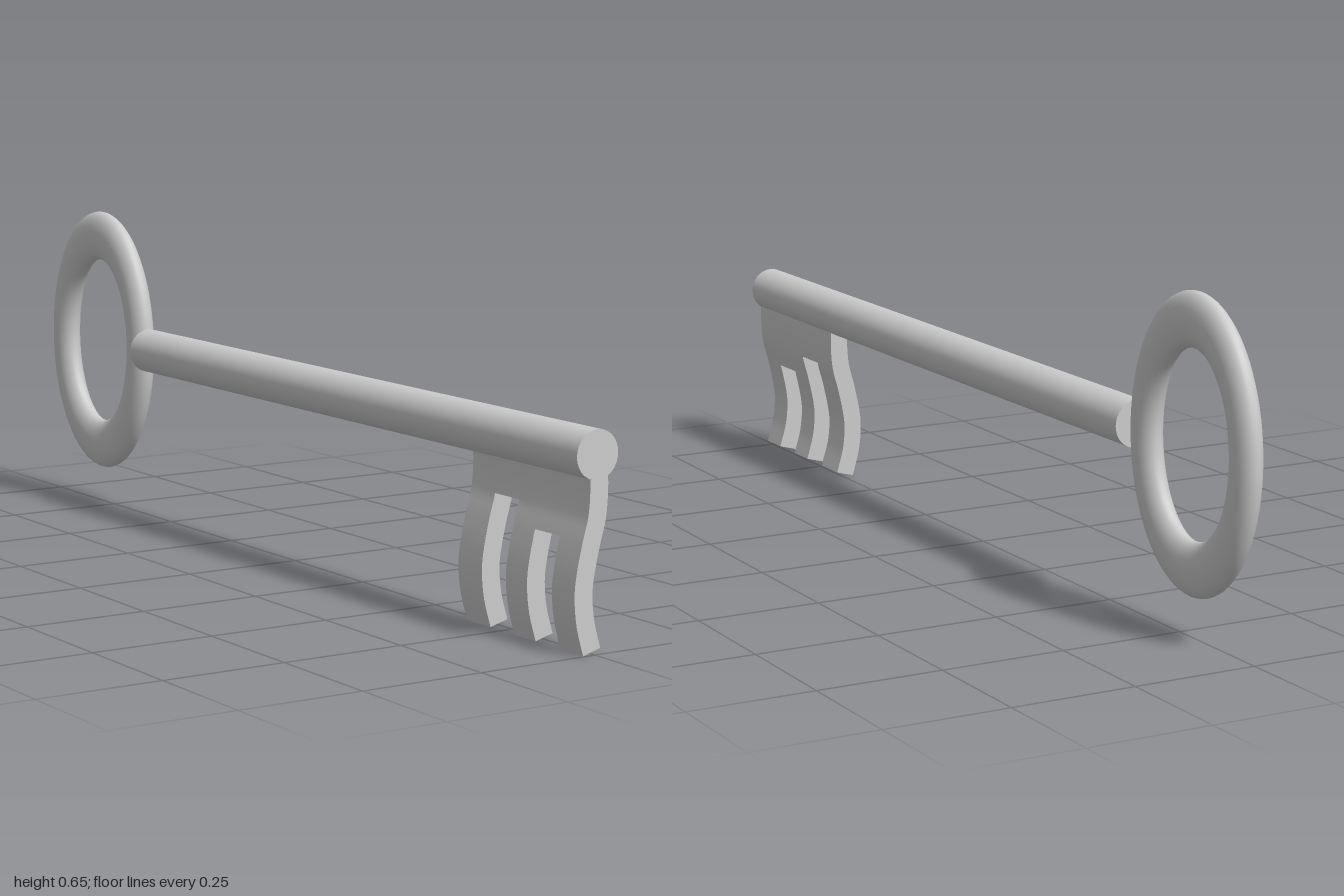
import * as THREE from 'three';
import { toCreasedNormals } from 'three/addons/utils/BufferGeometryUtils.js';

const AXIS_Y = 0.365;

// Wavy comb-shaped bit: an S-curved plate cut by two slots
function bitGeometry() {
  const STEPS = 4, HALF = 0.02;
  const centre = [[0.005, 0.345], [0.007, 0.3], [0.003, 0.25], [-0.009, 0.205],
    [-0.021, 0.15], [-0.025, 0.11], [-0.02, 0.06], [-0.005, 0.006]];
  const curve = new THREE.CatmullRomCurve3(
    centre.map(([x, y]) => new THREE.Vector3(x, y, 0)), false, 'catmullrom');
  const rows = (centre.length - 1) * STEPS;
  const rails = [];
  for (let i = 0; i <= rows; i++) {
    const p = curve.getPoint(i / rows), t = curve.getTangent(i / rows);
    rails.push({ p, n: new THREE.Vector3(-t.y, t.x, 0).multiplyScalar(HALF) });
  }
  // Columns along z; depth is the number of filled rows (slots stop early)
  const zs = [0.64, 0.715, 0.79, 0.855, 0.93, 0.997];
  const depth = [rows, 2 * STEPS, rows, 3 * STEPS, rows];
  const filled = (c, r) => c >= 0 && c < depth.length && r >= 0 && r < depth[c];

  const pos = [];
  const at = (side, r, z) => {
    const { p, n } = rails[r];
    return [p.x + side * n.x, p.y + side * n.y, z];
  };
  const quad = (a, b, c, d) => pos.push(...a, ...b, ...c, ...a, ...c, ...d);

  for (let c = 0; c < depth.length; c++) {
    const lo = zs[c], hi = zs[c + 1];
    for (let r = 0; r < depth[c]; r++) {
      const s = r + 1;
      quad(at(1, r, hi), at(1, s, hi), at(1, s, lo), at(1, r, lo));
      quad(at(-1, r, lo), at(-1, s, lo), at(-1, s, hi), at(-1, r, hi));
      if (!filled(c + 1, r)) quad(at(-1, r, hi), at(-1, s, hi), at(1, s, hi), at(1, r, hi));
      if (!filled(c - 1, r)) quad(at(1, r, lo), at(1, s, lo), at(-1, s, lo), at(-1, r, lo));
      if (!filled(c, s)) quad(at(-1, s, lo), at(1, s, lo), at(1, s, hi), at(-1, s, hi));
      if (r === 0) quad(at(-1, r, hi), at(1, r, hi), at(1, r, lo), at(-1, r, lo));
    }
  }
  const geo = new THREE.BufferGeometry();
  geo.setAttribute('position', new THREE.Float32BufferAttribute(pos, 3));
  return toCreasedNormals(geo, 0.6);
}

export function createModel() {
  const group = new THREE.Group();
  group.name = 'key';
  const material = new THREE.MeshStandardMaterial({ color: 0xcccccc });
  const add = (name, geo, y = 0, z = 0) => {
    const mesh = new THREE.Mesh(geo, material);
    mesh.name = name;
    mesh.position.set(0, y, z);
    group.add(mesh);
  };

  // Round shaft along z
  add('shaft', new THREE.CylinderGeometry(0.046, 0.046, 1.592, 48).rotateX(Math.PI / 2), AXIS_Y, 0.204);

  // Oval, flattened ring handle
  const ring = new THREE.TorusGeometry(0.233, 0.053, 28, 80);
  ring.scale(0.717, 1, 0.51).rotateY(Math.PI / 2);
  add('ringHandle', ring, AXIS_Y, -0.795);

  // Toothed bit under the front end
  add('bit', bitGeometry());
  return group;
}
